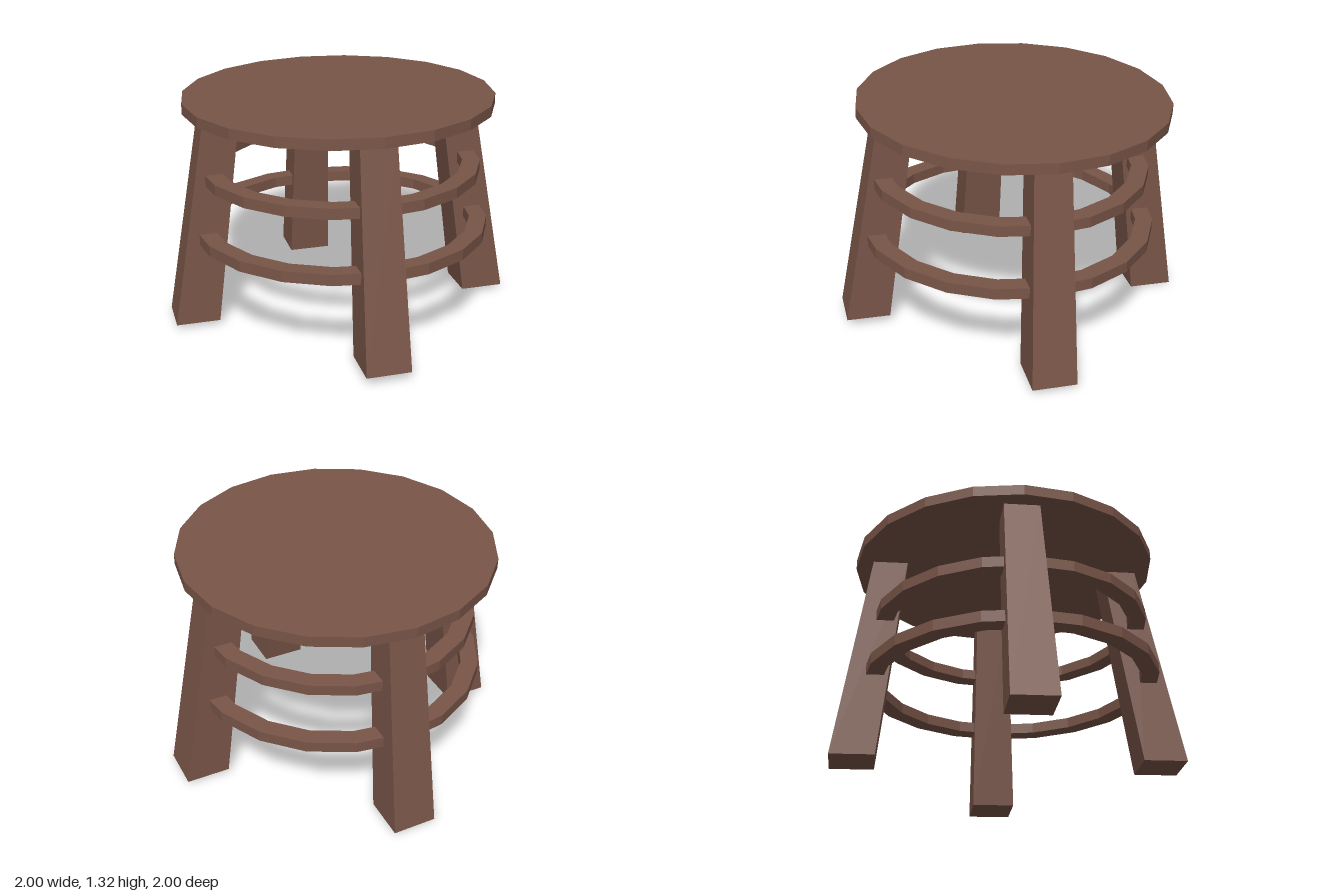
import * as THREE from 'three';

const wood = new THREE.MeshStandardMaterial({ color: 0x795548, flatShading: true });
const SIDES = 20;

function part(name, geometry) {
  const mesh = new THREE.Mesh(geometry, wood);
  mesh.name = name;
  return mesh;
}

// Square leg that tapers upwards and leans in towards the seat
function legGeometry() {
  const height = 1.215;
  const g = new THREE.BoxGeometry(1, height, 1);
  g.translate(0, height / 2, 0);
  const p = g.attributes.position;
  for (let i = 0; i < p.count; i++) {
    const t = p.getY(i) / height;
    const width = THREE.MathUtils.lerp(0.25, 0.2, t);
    const reach = THREE.MathUtils.lerp(0.873, 0.685, t);
    p.setX(i, p.getX(i) * width);
    p.setZ(i, p.getZ(i) * width + reach);
  }
  g.computeVertexNormals();
  return g;
}

// Faceted hoop with a rectangular section
function hoopGeometry(outer, bottom, top) {
  const inner = outer - 0.1;
  const profile = [[inner, bottom], [outer, bottom], [outer, top], [inner, top], [inner, bottom]];
  return new THREE.LatheGeometry(profile.map(([r, y]) => new THREE.Vector2(r, y)), SIDES);
}

export function createModel() {
  const model = new THREE.Group();
  model.name = 'stool';

  // The whole stool leans back slightly
  const body = new THREE.Group();
  body.name = 'body';
  body.rotation.x = -0.025;
  body.position.set(0, 0.026, 0.002);
  model.add(body);

  const seat = part('seat', new THREE.CylinderGeometry(0.885, 0.885, 0.06, SIDES));
  seat.position.y = 1.242;
  body.add(seat);

  // Four legs around the seat
  const leg = legGeometry();
  ['frontLeg', 'leftLeg', 'backLeg', 'rightLeg'].forEach((name, i) => {
    const mesh = part(name, leg);
    mesh.rotation.y = i * Math.PI / 2;
    body.add(mesh);
  });

  // Two hoops joining the legs
  const upper = part('upperHoop', hoopGeometry(0.803, 0.824, 0.885));
  const lower = part('lowerHoop', hoopGeometry(0.853, 0.477, 0.54));
  for (const hoop of [upper, lower]) {
    hoop.position.z = 0.026;
    body.add(hoop);
  }

  return model;
}
